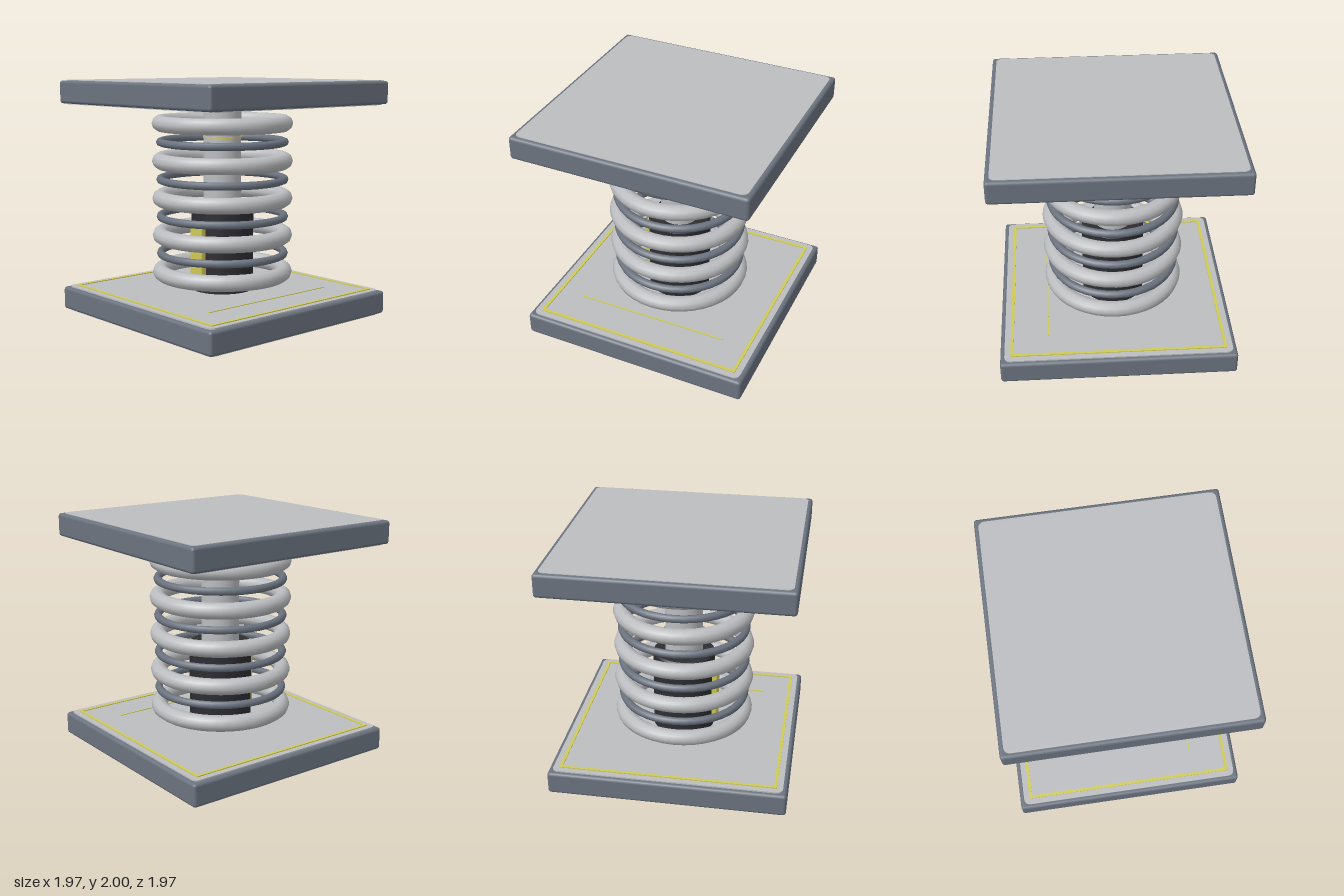
import * as THREE from 'three';
import { RoundedBoxGeometry } from 'three/addons/geometries/RoundedBoxGeometry.js';

const material = (name, color) => {
  const m = new THREE.MeshStandardMaterial({ color });
  m.name = name;
  return m;
};

// Rounded rectangle outline in the XY plane, usable as a shape or a hole
function roundedRect(path, half, r) {
  const c = half - r;
  path.moveTo(-c, -half);
  path.lineTo(c, -half);
  path.absarc(c, -c, r, -Math.PI / 2, 0);
  path.absarc(c, c, r, 0, Math.PI / 2);
  path.absarc(-c, c, r, Math.PI / 2, Math.PI);
  path.absarc(-c, -c, r, Math.PI, Math.PI * 1.5);
  return path;
}

// Flat horizontal sheet standing on y = 0
function sheet(half, r, thickness, innerHalf) {
  const shape = roundedRect(new THREE.Shape(), half, r);
  if (innerHalf) shape.holes.push(roundedRect(new THREE.Path(), innerHalf, r));
  const g = new THREE.ExtrudeGeometry(shape, { depth: thickness, bevelEnabled: false, curveSegments: 5 });
  return g.rotateX(-Math.PI / 2);
}

export function createModel() {
  const model = new THREE.Group();
  model.name = 'springPlatform';

  const steel = material('blueSteel', 0x6b737f);
  const light = material('lightMetal', 0xbcbdc0);
  const dark = material('darkMetal', 0x2d2d32);
  const yellow = material('yellowMarking', 0xcfca55);

  const add = (name, geometry, mat, x = 0, y = 0, z = 0, parent = model) => {
    const mesh = new THREE.Mesh(geometry, mat);
    mesh.name = name;
    mesh.position.set(x, y, z);
    parent.add(mesh);
    return mesh;
  };
  const cylinder = (name, mat, rTop, rBottom, y0, y1) =>
    add(name, new THREE.CylinderGeometry(rTop, rBottom, y1 - y0, 32), mat, 0, (y0 + y1) / 2);

  // Matching base and top plates, each faced with thin panels on both sides
  const plateGeometry = new RoundedBoxGeometry(1.97, 0.194, 1.97, 2, 0.025);
  const panelGeometry = sheet(0.95, 0.05, 0.016);
  for (const [name, y] of [['base', 0], ['top', 1.79]]) {
    const plate = new THREE.Group();
    plate.name = name + 'Plate';
    plate.position.y = y;
    model.add(plate);
    add(name + 'Slab', plateGeometry, steel, 0, 0.108, 0, plate);
    add(name + 'LowerPanel', panelGeometry, light, 0, y ? 0.004 : 0, 0, plate);
    add(name + 'UpperPanel', panelGeometry, light, 0, y ? 0.194 : 0.2, 0, plate);
  }

  // Yellow border and guide lines on the inner faces
  add('baseBorder', sheet(0.9, 0.012, 0.008, 0.875), yellow, 0, 0.215, 0);
  const lineGeometry = new THREE.BoxGeometry(0.012, 0.008, 1.32);
  add('baseGuideLine', lineGeometry, yellow, 0.585, 0.217, 0);
  add('topGuideLine', lineGeometry, yellow, 0.585, 1.792, 0);

  // Damper: dark sleeve with a chamfered rim, sliding rod and marker band
  cylinder('damperSleeve', dark, 0.265, 0.265, 0.2, 0.915);
  cylinder('damperRim', dark, 0.25, 0.265, 0.915, 0.93);
  cylinder('pistonRod', light, 0.16, 0.16, 0.9, 1.81);
  cylinder('rodMarker', yellow, 0.166, 0.166, 1.517, 1.529);
  add('sleeveGauge', new RoundedBoxGeometry(0.15, 0.53, 0.07, 2, 0.012), yellow, 0, 0.545, 0.265);

  // Alternating thick and thin coil rings
  const thick = new THREE.TorusGeometry(0.53, 0.068, 10, 40).rotateX(Math.PI / 2);
  const thin = new THREE.TorusGeometry(0.53, 0.033, 8, 40).rotateX(Math.PI / 2);
  for (let i = 0; i < 5; i++) {
    const y = 0.37 + i * 0.3175;
    add('coilRing' + (i + 1), thick, light, 0, y, 0);
    if (i < 4) add('spacerRing' + (i + 1), thin, steel, 0, y + 0.159, 0);
  }
  return model;
}
